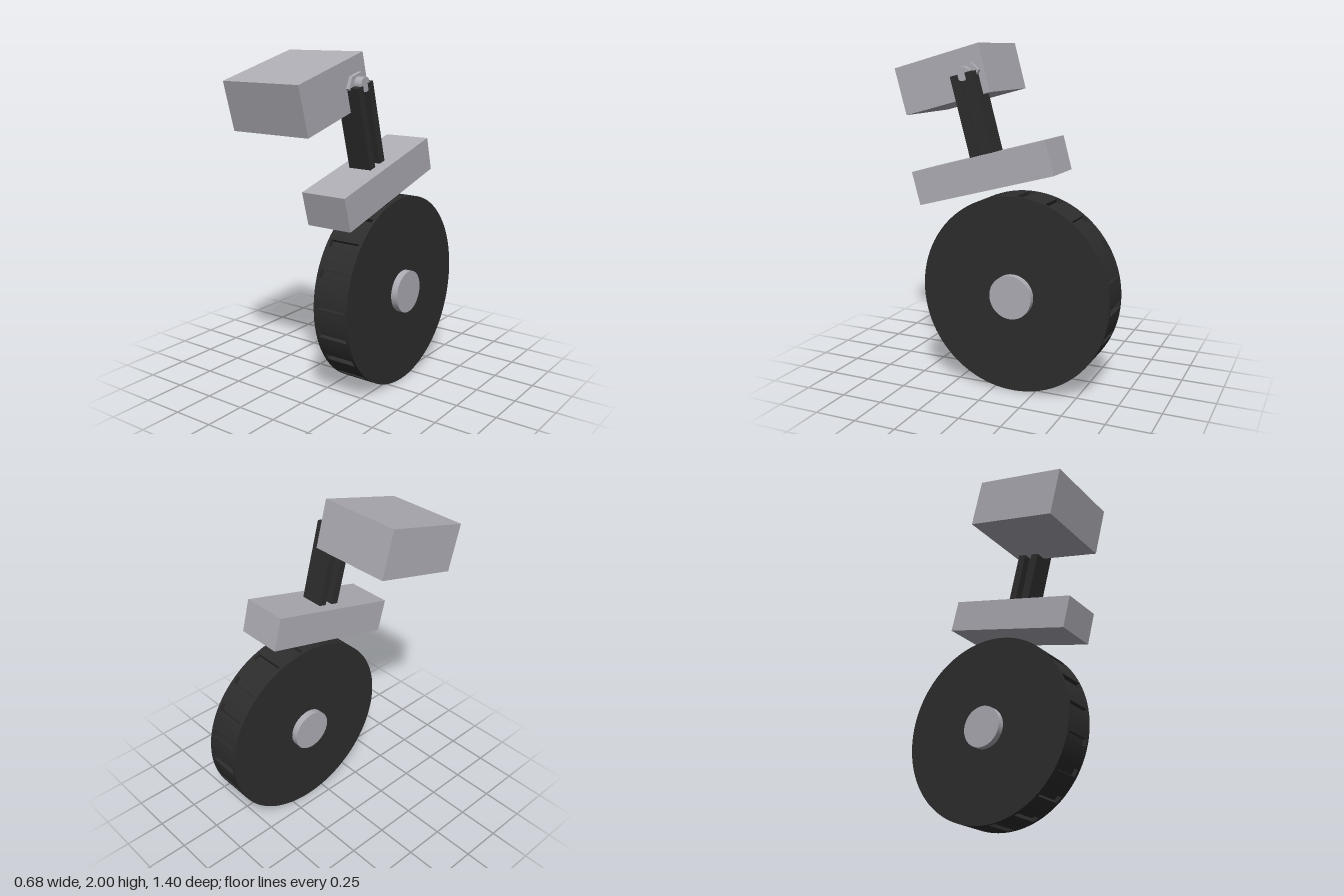
import * as THREE from 'three';
import { toCreasedNormals } from 'three/addons/utils/BufferGeometryUtils.js';

const TILT = THREE.MathUtils.degToRad(15);
const WHEEL = { x: 0.18, y: 0.578, z: -0.12, r: 0.577 };

export function createModel() {
  const model = new THREE.Group();
  const grey = new THREE.MeshStandardMaterial({ color: 0xaeadb5 });
  grey.name = 'light grey';
  const black = new THREE.MeshStandardMaterial({ color: 0x2d2d2d });
  black.name = 'rubber black';

  const add = (name, geometry, material, x, y, z, tilt = 0) => {
    const mesh = new THREE.Mesh(geometry, material);
    mesh.name = name;
    mesh.position.set(x, y, z);
    mesh.rotation.x = tilt;
    model.add(mesh);
    return mesh;
  };
  // Cylinder lying along x
  const axle = (r, length, sides) => new THREE.CylinderGeometry(r, r, length, sides).rotateZ(-Math.PI / 2);

  // Slotted tread: a disc outline with 20 shallow notches
  const slots = 20, pitch = (Math.PI * 2) / slots, half = 0.0225 / WHEEL.r;
  const depth = 0.025, phase = THREE.MathUtils.degToRad(-3.3);
  const outline = [];
  const point = (r, a) => outline.push(new THREE.Vector2(r * Math.cos(a), r * Math.sin(a)));
  for (let i = 0; i < slots; i++) {
    const a = phase + i * pitch;
    point(WHEEL.r, a - half);
    point(WHEEL.r - depth, a - half);
    point(WHEEL.r - depth, a + half);
    for (let j = 0; j < 5; j++) point(WHEEL.r, a + half + ((pitch - 2 * half) * j) / 5);
  }
  const tread = new THREE.ExtrudeGeometry(new THREE.Shape(outline), { depth: 0.19, bevelEnabled: false });
  tread.translate(0, 0, -0.095).rotateY(Math.PI / 2);
  add('wheelTread', toCreasedNormals(tread, 0.4), black, WHEEL.x, WHEEL.y, WHEEL.z);

  // Plain side discs closing the slots
  for (const side of [-1, 1]) {
    add(side > 0 ? 'wheelSideLeft' : 'wheelSideRight', axle(WHEEL.r, 0.02, 100), black,
      WHEEL.x + side * 0.105, WHEEL.y, WHEEL.z);
  }
  add('wheelHub', axle(0.128, 0.314, 48), grey, WHEEL.x, WHEEL.y, WHEEL.z);

  // Tilted blocks above the wheel
  add('lowerBlock', new THREE.BoxGeometry(0.286, 0.2, 0.864), grey, 0.18, 1.276, 0.0675, TILT);
  add('upperBlock', new THREE.BoxGeometry(0.518, 0.285, 0.574), grey, -0.081, 1.789, 0.385, TILT);

  // Strut with a groove down each side
  const w = 0.0725, g = 0.024, web = 0.022;
  const section = new THREE.Shape([
    [-w, -w], [w, -w], [w, -g], [web, -g], [web, g], [w, g],
    [w, w], [-w, w], [-w, g], [-web, g], [-web, -g], [-w, -g],
  ].map(([x, y]) => new THREE.Vector2(x, y)));
  const strut = new THREE.ExtrudeGeometry(section, { depth: 0.48, bevelEnabled: false });
  strut.rotateX(-Math.PI / 2);
  add('strut', strut, black, 0.178, 1.365, 0.095, TILT);

  // Pivot pin with its six-sided collar
  add('pivotPin', toCreasedNormals(axle(0.042, 0.07, 12), 0.6), grey, 0.213, 1.829, 0.215, TILT);
  const collar = axle(0.086, 0.03, 6).scale(1, 0.75, 1);
  add('pivotCollar', toCreasedNormals(collar, 0.3), grey, 0.185, 1.829, 0.215, TILT);

  return model;
}
